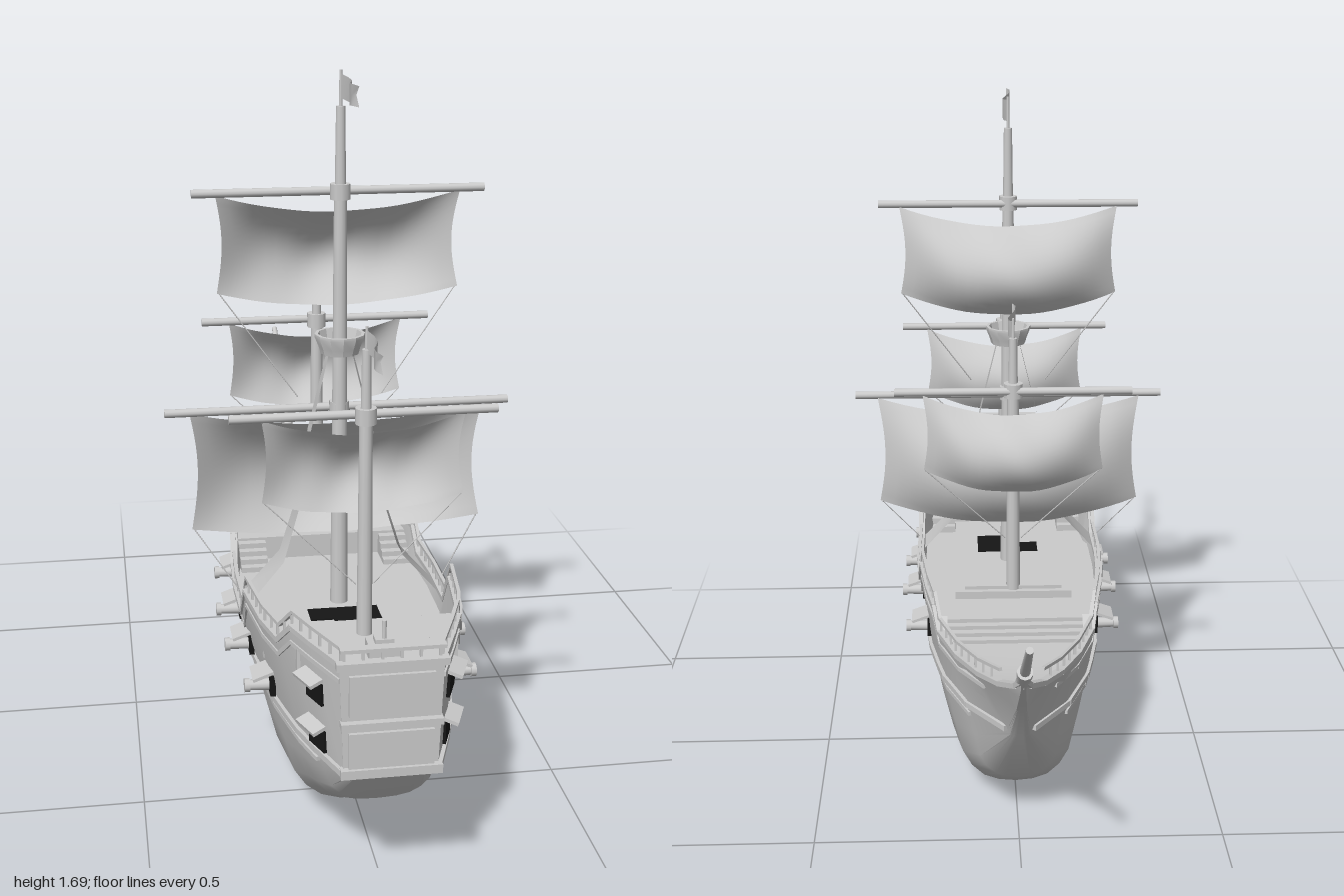
import * as THREE from 'three';
import { toCreasedNormals } from 'three/addons/utils/BufferGeometryUtils.js';

const V = (x, y, z) => new THREE.Vector3(x, y, z);
const grey = new THREE.MeshStandardMaterial({ color: 0xcccccc });
const thin = new THREE.MeshStandardMaterial({ color: 0xcccccc, side: THREE.DoubleSide });
const dark = new THREE.MeshStandardMaterial({ color: 0x161616 });

// Hull stations, stern to bow: z, keel height, half width at wale, half width at sheer, sheer height
const ROWS = [
  [0.98, 0.33, 0.1, 0.11, 0.58], [0.87, 0.2, 0.14, 0.155, 0.58], [0.79, 0.15, 0.165, 0.185, 0.58],
  [0.72, 0.115, 0.18, 0.205, 0.52], [0.62, 0.05, 0.2, 0.23, 0.52], [0.46, 0.02, 0.215, 0.25, 0.52],
  [0.4, 0.01, 0.22, 0.252, 0.44], [0.25, 0.01, 0.225, 0.254, 0.44], [0.11, 0.01, 0.222, 0.247, 0.44],
  [0.06, 0.01, 0.22, 0.242, 0.5], [-0.09, 0.01, 0.21, 0.225, 0.5], [-0.2, 0.025, 0.19, 0.207, 0.5],
  [-0.27, 0.035, 0.175, 0.194, 0.46], [-0.41, 0.13, 0.12, 0.15, 0.465], [-0.53, 0.31, 0.03, 0.1, 0.48],
  [-0.62, 0.43, 0.012, 0.055, 0.5], [-0.69, 0.5, 0.008, 0.02, 0.53], [-0.73, 0.54, 0.006, 0.008, 0.56],
];
function station(z) {
  let i = 0;
  while (i < ROWS.length - 2 && z < ROWS[i + 1][0]) i++;
  const a = ROWS[i], b = ROWS[i + 1];
  const t = THREE.MathUtils.clamp((z - a[0]) / (b[0] - a[0]), 0, 1);
  const [, keel, wWale, wTop, sheer] = a.map((v, k) => v + (b[k] - v) * t);
  return { z, keel, wWale, wTop, sheer, wale: Math.max(0.33, keel) };
}
// Half width of the topsides at a given place
function hullX(z, y) {
  const s = station(z);
  const t = THREE.MathUtils.clamp((y - s.wale) / (s.sheer - s.wale), 0, 1);
  return s.wWale + (s.wTop - s.wWale) * t;
}

export function createModel() {
  const root = new THREE.Group();
  root.name = 'sailingShip';

  function add(name, geo, mat = grey, pos = V(0, 0, 0), parent = root) {
    const m = new THREE.Mesh(geo, mat);
    m.name = name;
    m.position.copy(pos);
    parent.add(m);
    return m;
  }
  const box = (name, w, h, d, x, y, z, mat) => add(name, new THREE.BoxGeometry(w, h, d), mat, V(x, y, z));
  // Square bar or round spar between two points
  function bar(name, a, b, w, h = w) {
    const m = add(name, new THREE.BoxGeometry(w, h, a.distanceTo(b) + w * 0.5), grey, a.clone().lerp(b, 0.5));
    m.lookAt(b);
    return m;
  }
  function spar(name, a, b, r0, r1 = r0, sides = 10) {
    const m = add(name, new THREE.CylinderGeometry(r1, r0, a.distanceTo(b), sides), grey, a.clone().lerp(b, 0.5));
    m.quaternion.setFromUnitVectors(V(0, 1, 0), b.clone().sub(a).normalize());
    return m;
  }
  function loft(name, rings, crease) {
    const n = rings[0].length, idx = [];
    for (let i = 0; i < rings.length - 1; i++)
      for (let j = 0; j < n - 1; j++) {
        const a = i * n + j, b = a + n;
        idx.push(a, b, a + 1, a + 1, b, b + 1);
      }
    const g = new THREE.BufferGeometry().setFromPoints(rings.flat());
    g.setIndex(idx);
    return add(name, toCreasedNormals(g, crease), thin);
  }

  // Hull shell with thick bulwarks
  const shape = [[0, 0], [0.25, 0.015], [0.46, 0.06], [0.64, 0.16], [0.77, 0.3], [0.88, 0.6], [1, 1]];
  loft('hull', ROWS.map(([z]) => {
    const s = station(z), low = Math.max(s.sheer - 0.12, s.wale);
    const half = shape.map(([f, g]) => [s.wWale * f, s.keel + (s.wale - s.keel) * g]);
    half.push([s.wTop, s.sheer], [Math.max(0, s.wTop - 0.012), s.sheer], [Math.max(0, hullX(z, low) - 0.012), low]);
    const right = half.slice(1).reverse().map(([x, y]) => V(-x, y, z));
    return [...right, ...half.map(([x, y]) => V(x, y, z))];
  }), 0.55);
  const transom = new THREE.Shape([[-0.1, 0.33], [0.1, 0.33], [0.11, 0.58], [-0.11, 0.58]].map((p) => new THREE.Vector2(...p)));
  add('transom', new THREE.ExtrudeGeometry(transom, { depth: 0.014, bevelEnabled: false }), grey, V(0, 0, 0.968));
  for (const [y, h] of [[0.51, 0.09], [0.385, 0.08]]) box('sternPanel', 0.18, h, 0.012, 0, y, 0.984);

  // Stepped decks
  const levels = [[0.975, 0.55], [0.9, 0.55], [0.825, 0.55], [0.825, 0.49], [0.72, 0.49], [0.62, 0.49], [0.585, 0.49], [0.585, 0.41],
    [0.46, 0.41], [0.4, 0.41], [0.25, 0.41], [0.11, 0.41], [0.015, 0.41], [0.015, 0.47], [-0.09, 0.47], [-0.2, 0.47],
    [-0.27, 0.43], [-0.41, 0.435], [-0.53, 0.45], [-0.62, 0.475], [-0.69, 0.515]];
  loft('deck', levels.map(([z, y]) => { const x = hullX(z, y) - 0.004; return [V(-x, y, z), V(x, y, z)]; }), 0.3);

  // Stairs between decks
  function stairs(x, w, z0, y0, z1, y1, n = 4) {
    for (let i = 0; i < n; i++) {
      const h = (y1 - y0) * (i + 1) / (n + 0.5), d = (z1 - z0) / n;
      box('step', w, h, Math.abs(d), x, y0 + h / 2, z0 + d * (i + 0.5));
    }
  }
  for (const s of [-1, 1]) {
    stairs(s * 0.185, 0.07, 0.5, 0.41, 0.585, 0.49);
    stairs(s * 0.185, 0.07, 0.1, 0.41, 0.015, 0.47);
    stairs(s * 0.145, 0.06, 0.75, 0.49, 0.825, 0.55);
  }
  stairs(0, 0.34, -0.28, 0.43, -0.2, 0.475);

  // Deck fittings
  box('foreHatch', 0.3, 0.02, 0.08, 0, 0.48, -0.06);
  box('foreHatchLid', 0.25, 0.012, 0.05, 0, 0.493, -0.06);
  box('poopHatch', 0.07, 0.03, 0.05, 0, 0.565, 0.885);
  box('poopHatchLid', 0.04, 0.012, 0.028, 0, 0.584, 0.885);
  spar('tillerPost', V(0, 0.55, 0.89), V(0, 0.63, 0.89), 0.005);
  box('holdOpening', 0.17, 0.006, 0.06, 0, 0.411, 0.38, dark);
  box('holdOpeningStep', 0.115, 0.006, 0.05, 0.028, 0.411, 0.435, dark);

  // Wales, gunwale and railing on both sides
  for (const s of [-1, 1]) {
    const along = (name, rows, yOf, w, h, out) => {
      const p = rows.map(([z]) => { const y = yOf(station(z)); return V(s * (hullX(z, y) + out), y, z); });
      for (let i = 0; i < p.length - 1; i++) bar(name, p[i], p[i + 1], w, h);
    };
    along('lowerWale', ROWS.slice(0, 15), () => 0.335, 0.014, 0.014, 0.002);
    along('lowerWaleEdge', ROWS.slice(1, 14), () => 0.308, 0.01, 0.01, -0.003);
    along('upperWale', ROWS.slice(0, 15), (q) => q.sheer - 0.035, 0.008, 0.01, 0);
    along('gunwale', ROWS, (q) => q.sheer, 0.018, 0.012, -0.006);
    along('handrail', ROWS.slice(0, 16), (q) => q.sheer + 0.035, 0.008, 0.008, -0.006);
    for (let z = 0.975; z > -0.62; z -= 0.038) {
      const q = station(z);
      box('railPost', 0.006, 0.036, 0.006, s * (q.wTop - 0.006), q.sheer + 0.018, z);
    }
  }
  for (const [y, w, h] of [[0.335, 0.215, 0.02], [0.445, 0.215, 0.014], [0.58, 0.235, 0.016], [0.615, 0.22, 0.008]])
    box('sternBand', w, h, 0.022, 0, y, 0.986);
  for (let x = -0.1; x <= 0.101; x += 0.04) box('sternRailPost', 0.006, 0.036, 0.006, x, 0.598, 0.98);

  // Gun ports with cannons, and stern windows
  for (const s of [-1, 1]) {
    for (const z of [0.62, 0.405, 0.205, -0.025]) {
      const x = hullX(z, 0.37);
      box('gunPort', 0.012, 0.05, 0.062, s * x, 0.37, z, dark);
      const lid = box('portLid', 0.05, 0.007, 0.07, s * (x + 0.022), 0.396, z);
      lid.rotation.z = -s * 0.35;
      spar('cannon', V(s * (x - 0.03), 0.362, z), V(s * (x + 0.055), 0.362, z), 0.016, 0.012);
      spar('cannonMuzzle', V(s * (x + 0.05), 0.362, z), V(s * (x + 0.062), 0.362, z), 0.016);
    }
    for (const y of [0.37, 0.48]) {
      const x = hullX(0.885, y);
      box('sternWindow', 0.012, 0.05, 0.065, s * x, y, 0.885, dark).rotation.y = -s * 0.37;
      const hood = box('windowHood', 0.04, 0.008, 0.075, s * (x + 0.014), y + 0.03, 0.885);
      hood.rotation.set(0, -s * 0.37, -s * 0.3);
    }
  }

  // Bowsprit
  spar('bowsprit', V(0, 0.49, -0.63), V(0, 0.615, -0.79), 0.02, 0.014);
  spar('bowspritCollar', V(0, 0.593, -0.765), V(0, 0.615, -0.792), 0.018);
  spar('bowspritTip', V(0, 0.607, -0.78), V(0, 0.768, -0.994), 0.012, 0.008);

  // Billowing sail hung below a yard, belly towards the bow
  function sail(name, z0, top, h, halfW, depth, yardHalf) {
    const g = new THREE.PlaneGeometry(2, 1, 20, 14), p = g.attributes.position;
    for (let i = 0; i < p.count; i++) {
      const u = p.getX(i), v = 0.5 - p.getY(i), c = 1 - u * u;
      const belly = Math.sin(Math.PI * (0.08 + 0.76 * v));
      p.setXYZ(i, halfW * u * (1 - 0.05 * Math.sin(Math.PI * v)), top - h * v - 0.048 * c,
        z0 - depth * belly * (0.18 + 0.82 * c) - 0.004 * Math.sin(u * 9 + v * 4) * c);
    }
    g.computeVertexNormals();
    add(name, g, thin);
    const yard = top + 0.006;
    spar('yard', V(-yardHalf, yard, z0), V(yardHalf, yard, z0), 0.01);
    spar('yardCollar', V(0, yard - 0.018, z0 + 0.012), V(0, yard + 0.018, z0 + 0.012), 0.024);
  }
  sail('mainTopSail', 0.285, 1.42, 0.23, 0.285, 0.125, 0.34);
  sail('mainSail', 0.28, 0.9, 0.295, 0.355, 0.145, 0.415);
  sail('foreSail', -0.092, 1.022, 0.195, 0.225, 0.095, 0.295);
  sail('mizzenSail', 0.64, 0.995, 0.19, 0.225, 0.085, 0.295);

  // Masts: stacked tapering lengths with a swallow-tailed pennant
  function mast(name, z, heights, radii, flagLen, flagH) {
    for (let i = 0; i < heights.length - 1; i++)
      spar(name, V(0, heights[i], z), V(0, heights[i + 1], z), radii[i], radii[i] * 0.82, 12);
    const top = heights[heights.length - 1], g = new THREE.PlaneGeometry(1, 1, 6, 2), p = g.attributes.position;
    for (let i = 0; i < p.count; i++) {
      const t = p.getX(i) + 0.5, v = p.getY(i);
      const len = t > 0.99 && Math.abs(v) < 0.1 ? 0.86 : t;
      p.setXYZ(i, 0.012 * Math.sin(t * 6), top - 0.008 - flagH / 2 + v * flagH * (1 - 0.2 * t) - 0.005 * Math.sin(t * 5), z + len * flagLen);
    }
    g.computeVertexNormals();
    add('pennant', g, thin);
  }
  mast('mainMast', 0.3, [0.4, 0.92, 1.44, 1.62, 1.7], [0.022, 0.018, 0.013, 0.004], 0.262, 0.055);
  mast('foreMast', -0.075, [0.46, 1.03, 1.16, 1.21], [0.018, 0.012, 0.004], 0.185, 0.045);
  mast('mizzenMast', 0.655, [0.48, 1.01, 1.15, 1.2], [0.018, 0.012, 0.004], 0.205, 0.05);

  // Crow's nest
  const nest = [[0, 1.045], [0.046, 1.045], [0.05, 1.06], [0.06, 1.085], [0.06, 1.092], [0.052, 1.092], [0.044, 1.058], [0, 1.058]];
  add('lookoutNest', toCreasedNormals(new THREE.LatheGeometry(nest.map((q) => new THREE.Vector2(...q)), 12), 0.4), thin, V(0, 0, 0.3));

  // Flared shrouds from the lookout to the gunwales
  const flare = [[0.03, 1.045, 0.32], [0.075, 0.86, 0.335], [0.105, 0.68, 0.355], [0.145, 0.55, 0.372], [0.235, 0.45, 0.39]];
  for (const s of [-1, 1]) loft('shroud', flare.map(([x, y, z]) => [V(s * x, y, 0.29), V(s * x, y, z)]), 0.8);

  // Sheets from the sail corners
  for (const s of [-1, 1]) {
    const rope = (a, b) => spar('rope', V(s * a[0], a[1], a[2]), V(s * b[0], b[1], b[2]), 0.0015, 0.0015, 4);
    rope([0.28, 1.19, 0.27], [0.1, 0.94, 0.3]);
    rope([0.35, 0.605, 0.265], [0.25, 0.47, 0.33]);
    rope([0.222, 0.805, 0.63], [0.02, 0.61, 0.655]);
    rope([0.222, 0.827, -0.1], [0.02, 0.63, -0.075]);
  }
  return root;
}
